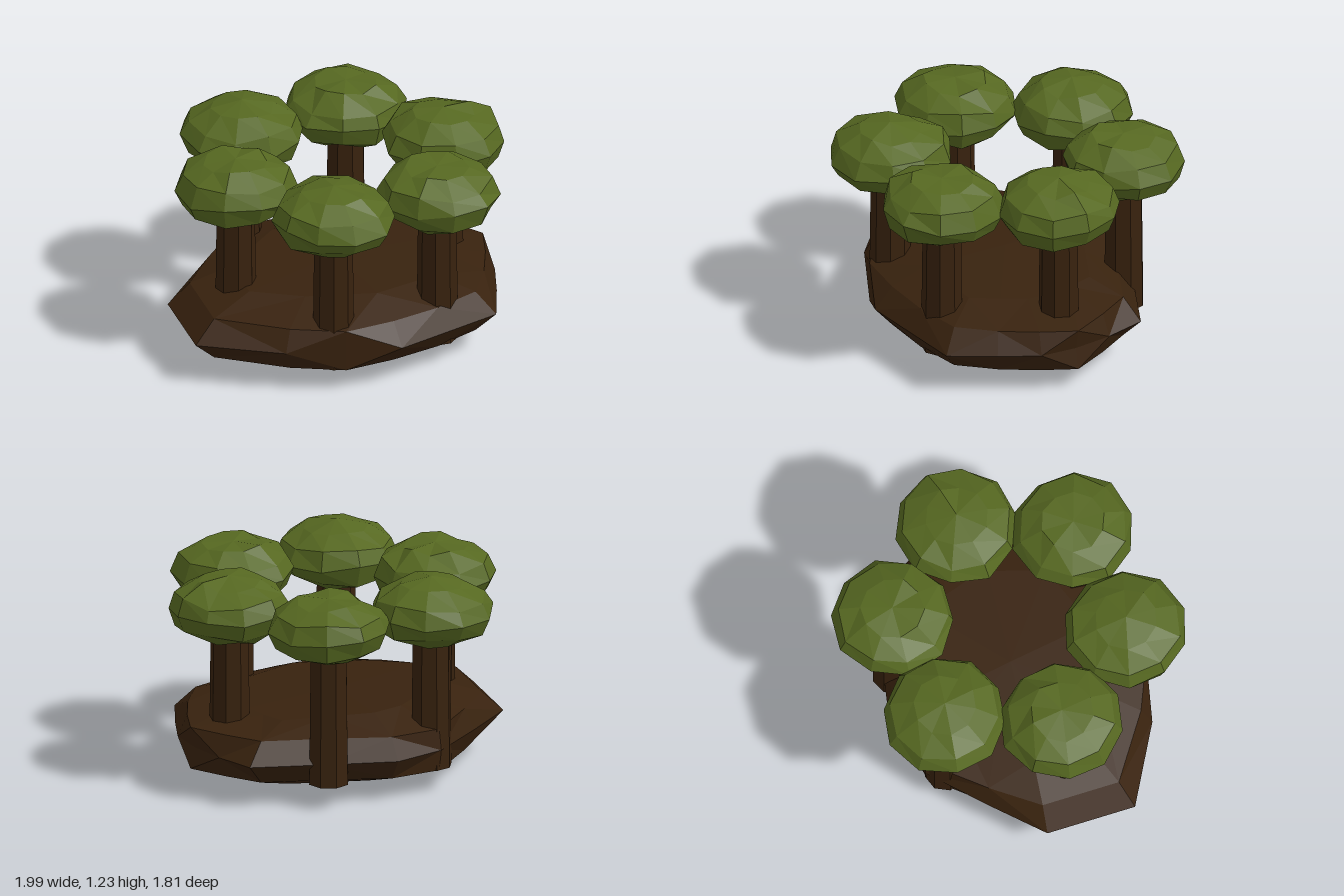
import * as THREE from 'three';

const brown = new THREE.MeshStandardMaterial({ color: 0x38220e, flatShading: true });
brown.name = 'earth and bark brown';
const green = new THREE.MeshStandardMaterial({ color: 0x566821, flatShading: true });
green.name = 'leaf green';

// Repeatable noise in -1..1 that depends on position, so shared corners stay joined
function noise(x, y, z, seed) {
  const r = (v) => Math.round(v * 1000) / 1000;
  const s = Math.sin(r(x) * 127.1 + r(y) * 311.7 + r(z) * 74.7 + seed * 53.3) * 43758.5453;
  return (s - Math.floor(s)) * 2 - 1;
}

// Faceted island: one rim outline repeated in rings, closed at top and bottom.
// The third rim number is the scale of the rings just above and below that point.
function islandGeometry() {
  const rim = [
    [0, 0.8, 0.87], [0.32, 0.74, 0.9], [0.64, 0.68, 0.87], [0.77, 0.43, 0.92], [0.87, 0.21, 0.94],
    [0.875, 0, 1.03], [0.84, -0.22, 0.94], [0.77, -0.45, 0.87], [0.38, -0.6, 0.87], [0, -0.74, 0.9],
    [-0.3, -0.68, 0.98], [-0.62, -0.46, 0.93], [-0.92, -0.24, 0.87], [-1, 0.26, 0.87], [-0.6, 0.57, 0.92],
    [-0.29, 0.69, 1],
  ];
  const rings = [[0.53, 0.035], [0, 0.13], [1, 0.25], [0, 0.37], [0.62, 0.45]];
  const n = rim.length;
  const pos = [];
  const index = [];
  rings.forEach(([s, y], k) => rim.forEach(([x, z, side]) => {
    const scale = s || side;
    const slope = k === 4 ? -0.03 * Math.max(0, x) : 0;
    pos.push(x * scale, y + slope, z * scale);
  }));
  pos.push(0, 0, 0, 0, 0.46, 0);
  const bottom = rings.length * n;
  const top = bottom - n;
  for (let i = 0; i < n; i++) {
    const j = (i + 1) % n;
    for (let k = 0; k < rings.length - 1; k++) {
      const a = k * n + i, b = k * n + j, c = a + n, d = b + n;
      if ((i + k) % 2) index.push(a, b, c, b, d, c);
      else index.push(a, b, d, a, d, c);
    }
    index.push(bottom, j, i, bottom + 1, top + i, top + j);
  }
  const g = new THREE.BufferGeometry();
  g.setAttribute('position', new THREE.Float32BufferAttribute(pos, 3));
  g.setIndex(index);
  g.computeVertexNormals();
  return g;
}

// Squashed low-poly crown with uneven corners
function crownGeometry(seed) {
  const g = new THREE.SphereGeometry(1, 10, 6);
  const p = g.attributes.position;
  for (let i = 0; i < p.count; i++) {
    const x = p.getX(i), y = p.getY(i), z = p.getZ(i);
    const r = 0.343 * (1 + 0.03 * noise(x, y, z, seed) + 0.03 * Math.abs(y));
    const dy = 0.02 * noise(x, y, z, seed + 9);
    p.setXYZ(i, x * r, y * 0.182 + dy, z * r);
  }
  g.rotateY(seed * 0.7);
  g.computeVertexNormals();
  return g;
}

function tree(x, z, seed) {
  const group = new THREE.Group();
  group.name = 'tree';
  const trunk = new THREE.Mesh(new THREE.CylinderGeometry(0.105, 0.115, 0.87, 8), brown);
  trunk.name = 'trunk';
  trunk.position.y = 0.565;
  trunk.rotation.y = seed * 0.9;
  const crown = new THREE.Mesh(crownGeometry(seed), green);
  crown.name = 'crown';
  crown.position.y = 1.028;
  group.add(trunk, crown);
  group.position.set(x, 0, z);
  return group;
}

export function createModel() {
  const model = new THREE.Group();
  model.name = 'tree ring island';
  const island = new THREE.Mesh(islandGeometry(), brown);
  island.name = 'island';
  model.add(island);
  // Six trees in a ring
  for (let i = 0; i < 6; i++) {
    const a = (i * Math.PI) / 3;
    model.add(tree(0.018 + 0.64 * Math.cos(a), 0.645 * Math.sin(a), i + 1));
  }
  return model;
}
